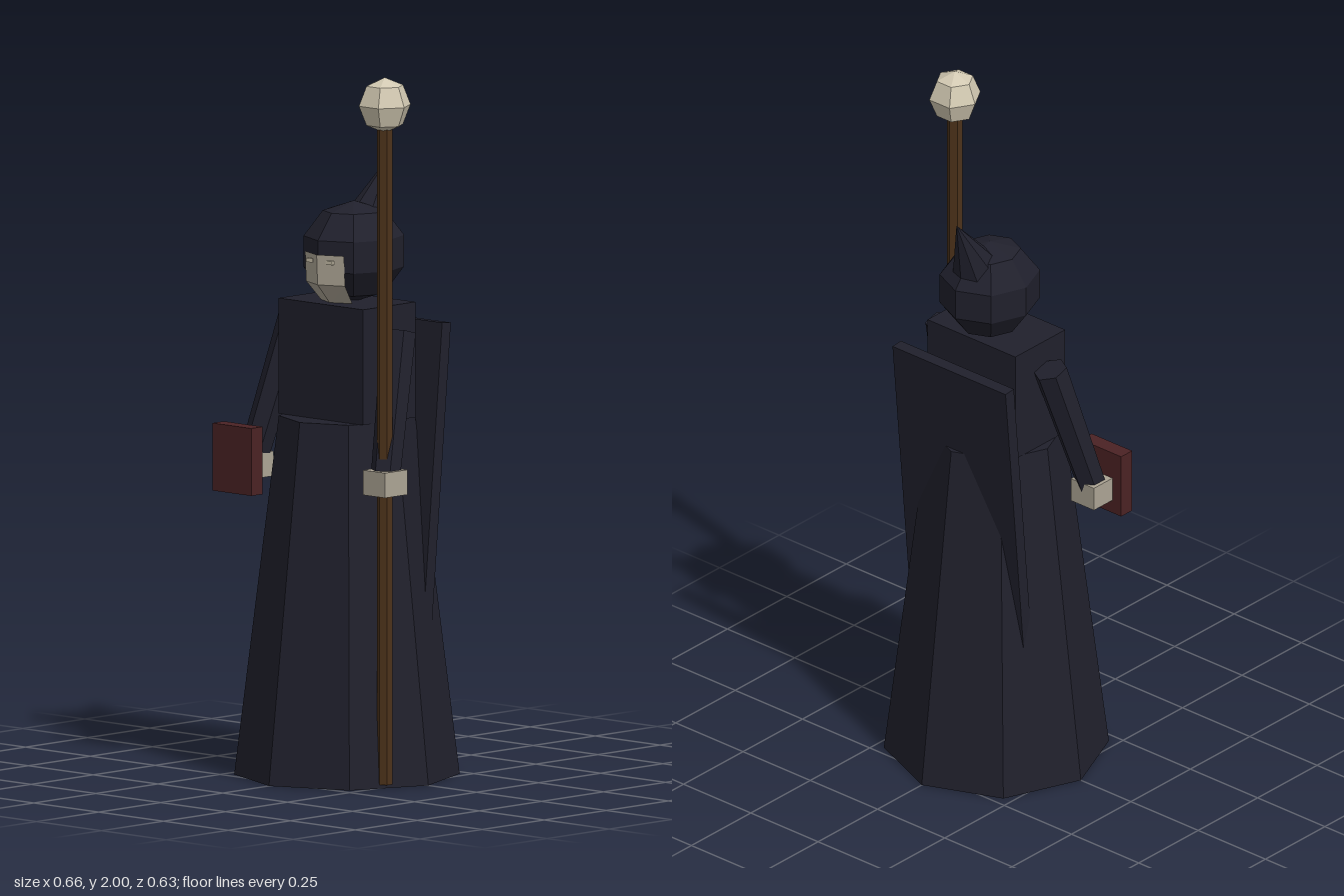
import * as THREE from 'three';

const mat = (name, color) => {
  const m = new THREE.MeshStandardMaterial({ color, flatShading: true });
  m.name = name;
  return m;
};

export function createModel() {
  const robe = mat('dark robe', 0x20202c);
  const skin = mat('pale skin', 0xaca494);
  const bone = mat('bone', 0xd2c9b2);
  const wood = mat('dark wood', 0x4c321a);
  const red = mat('book red', 0x4b2224);

  const model = new THREE.Group();
  model.name = 'robedFigure';
  const add = (name, geometry, material, x, y, z) => {
    const mesh = new THREE.Mesh(geometry, material);
    mesh.name = name;
    mesh.position.set(x, y, z);
    model.add(mesh);
    return mesh;
  };
  const box = (w, h, d) => new THREE.BoxGeometry(w, h, d);

  // Body
  add('skirt', new THREE.CylinderGeometry(0.19, 0.314, 1.01, 8), robe, 0, 0.505, 0);
  add('torso', box(0.326, 0.325, 0.21), robe, 0, 1.1725, 0);

  // Cape leaning into the back of the skirt
  add('cape', box(0.42, 0.93, 0.035), robe, 0, 0.81, -0.14).rotation.x = -0.09;

  // Hood with a tip swept backwards
  add('hood', new THREE.SphereGeometry(0.1425, 8, 5), robe, 0, 1.47, -0.028).scale.z = 1.07;
  const tilt = -0.45, tipHeight = 0.25;
  const tip = add('hoodTip', new THREE.ConeGeometry(0.09, tipHeight, 8), robe,
    0, 1.72 - Math.cos(tilt) * tipHeight / 2, -0.168 - Math.sin(tilt) * tipHeight / 2);
  tip.rotation.x = tilt;

  // Face: a plate bent around the middle, with the chin drawn back
  const face = new THREE.PlaneGeometry(1, 1, 2, 2);
  const rows = [ // y, half width, middle z, edge z
    [1.475, 0.075, 0.122, 0.09],
    [1.39, 0.075, 0.118, 0.086],
    [1.333, 0.06, 0.068, 0.04],
  ];
  rows.forEach(([y, w, zMid, zEdge], r) => {
    for (let c = 0; c < 3; c++) {
      face.attributes.position.setXYZ(r * 3 + c, (c - 1) * w, y, c === 1 ? zMid : zEdge);
    }
  });
  face.computeVertexNormals();
  add('face', face, skin, 0, 0, 0);

  // Arms, hands and eyes on both sides
  for (const [side, s] of [['left', 1], ['right', -1]]) {
    add(side + 'Eye', box(0.025, 0.011, 0.009), bone, s * 0.0375, 1.455, 0.1085);

    const shoulder = new THREE.Vector3(s * 0.2, 1.265, 0);
    const wrist = new THREE.Vector3(s * 0.256, 0.87, 0.113);
    const mid = shoulder.clone().lerp(wrist, 0.5);
    const arm = add(side + 'Arm',
      new THREE.CylinderGeometry(0.049, 0.042, shoulder.distanceTo(wrist), 6),
      robe, mid.x, mid.y, mid.z);
    arm.quaternion.setFromUnitVectors(new THREE.Vector3(0, 1, 0),
      shoulder.clone().sub(wrist).normalize());

    add(side + 'Hand', box(0.085, 0.07, 0.09), skin, s * 0.258, 0.86, 0.115);
  }

  // Staff held in the left hand
  add('staff', new THREE.CylinderGeometry(0.022, 0.022, 1.86, 6), wood, 0.256, 0.94, 0.115);
  add('staffKnob', new THREE.SphereGeometry(0.075, 6, 4), bone, 0.256, 1.922, 0.115).scale.y = 1.04;

  // Book held in the right hand
  add('book', box(0.15, 0.19, 0.046), red, -0.258, 0.88, 0.171);

  return model;
}
